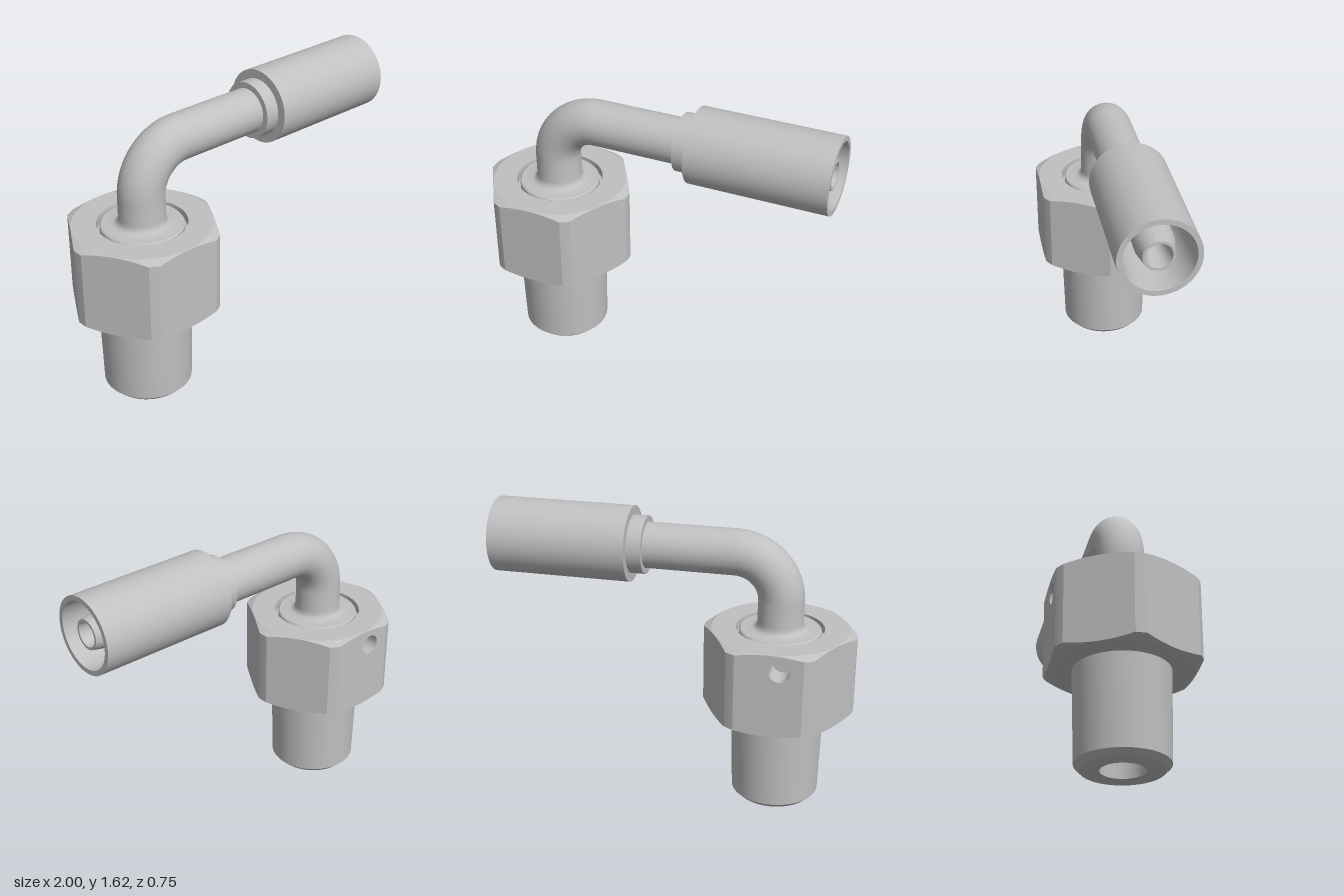
import * as THREE from 'three';
import { toCreasedNormals } from 'three/addons/utils/BufferGeometryUtils.js';

const AXIS_X = -0.583, PIPE_Y = 1.41;   // vertical axis, height of the horizontal axis
const TOP = 1.0, BOTTOM = 0.525;        // nut ends
const FLAT = 0.375, CORNER = 0.417;     // nut apothem and rounded corner radius
const CHAMFER_R = 0.372, SLOPE = 0.45;

const steel = new THREE.MeshStandardMaterial({ color: 0xc0c0c0 });
steel.name = 'steel';

function part(name, geometry) {
  const mesh = new THREE.Mesh(geometry, steel);
  mesh.name = name;
  return mesh;
}

// Turned part from [radius, height] pairs, with sharp edges kept
function turned(profile) {
  const pts = profile.map(([r, y]) => new THREE.Vector2(r, y));
  return toCreasedNormals(new THREE.LatheGeometry(pts, 64), 0.5);
}

// Turned part lying along x on the horizontal axis
const turnedX = (profile) => turned(profile).rotateZ(-Math.PI / 2).translate(0, PIPE_Y, 0);

const drop = (r) => (r - CHAMFER_R) * SLOPE;

function createNut() {
  const nut = new THREE.Group();
  nut.name = 'hexNut';
  const half = Math.sqrt(CORNER ** 2 - FLAT ** 2), steps = 20;
  const us = Array.from({ length: steps + 1 }, (_, i) => -half + (2 * half * i) / steps);

  // Outline of the rounded hexagon; isFlat marks spans covered by flat panels
  const ring = [];
  const edge = Math.atan(half / FLAT);
  for (let k = 0; k < 6; k++) {
    const mid = (k * Math.PI) / 3;
    us.forEach((u, i) => ring.push({ a: mid + Math.atan(u / FLAT), r: Math.hypot(u, FLAT), isFlat: i < steps }));
    for (let i = 1; i < 5; i++) {
      ring.push({ a: mid + edge + ((Math.PI / 3 - 2 * edge) * i) / 5, r: CORNER, isFlat: false });
    }
  }

  // Inner lip, end faces, chamfers and corner strips
  const rows = [
    () => [0.24, 0.93], () => [0.24, TOP], () => [CHAMFER_R, TOP],
    (r) => [r, TOP - drop(r)], (r) => [r, BOTTOM + drop(r)],
    () => [CHAMFER_R, BOTTOM], () => [0.24, BOTTOM],
  ];
  const at = (j, p) => {
    const [r, y] = rows[j](p.r);
    return [r * Math.sin(p.a), y, r * Math.cos(p.a)];
  };
  const pos = [];
  ring.forEach((p, i) => {
    const q = ring[(i + 1) % ring.length];
    for (let j = 0; j < rows.length - 1; j++) {
      if (j === 3 && p.isFlat) continue;
      const a = at(j, p), b = at(j + 1, p), c = at(j + 1, q), d = at(j, q);
      pos.push(...a, ...b, ...c, ...a, ...c, ...d);
    }
  });
  const shell = new THREE.BufferGeometry();
  shell.setAttribute('position', new THREE.Float32BufferAttribute(pos, 3));
  shell.computeVertexNormals();
  nut.add(part('nutShell', toCreasedNormals(shell, 0.3)));

  // Six flats with curved ends; the rear one has a pin hole
  const hole = { u: 0.055, y: 0.905, r: 0.055 };
  for (let k = 0; k < 6; k++) {
    const low = us.map((u) => new THREE.Vector2(u, BOTTOM + drop(Math.hypot(u, FLAT))));
    const high = us.map((u) => new THREE.Vector2(u, TOP - drop(Math.hypot(u, FLAT)))).reverse();
    const shape = new THREE.Shape([...low, ...high]);
    if (k === 3) shape.holes.push(new THREE.Path().absarc(hole.u, hole.y, hole.r, 0, Math.PI * 2, true));
    const panel = new THREE.ShapeGeometry(shape, 24).translate(0, 0, FLAT).rotateY((k * Math.PI) / 3);
    nut.add(part('nutFlat', panel));
  }
  const cup = turned([[hole.r, 0], [hole.r, -0.13], [0, -0.13]]);
  nut.add(part('pinHole', cup.rotateX(-Math.PI / 2).translate(-hole.u, hole.y, -FLAT)));
  nut.position.x = AXIS_X;
  return nut;
}

export function createModel() {
  const model = new THREE.Group();
  model.name = 'elbowHoseFitting';
  model.add(createNut());

  // Tapered plug with a bore from below
  const plug = part('taperedPlug', turned([
    [0, 0.78], [0.115, 0.7], [0.115, 0], [0.213, 0], [0.243, 0.03], [0.254, BOTTOM + 0.005],
  ]));
  plug.position.x = AXIS_X;

  // Pipe foot: groove floor, flange and fillet up into the pipe
  const foot = part('pipeFoot', turned([
    [0.24, 0.95], [0.223, 0.95], [0.223, 0.99], [0.216, 0.998], [0.155, 0.998], [0.142, 1.003],
    [0.133, 1.011], [0.127, 1.023], [0.125, 1.04], [0.125, 1.16],
  ]));
  foot.position.x = AXIS_X;

  // Quarter bend and straight run
  const bend = part('pipeBend', new THREE.TorusGeometry(0.25, 0.125, 48, 32, Math.PI / 2).rotateZ(Math.PI / 2));
  bend.position.set(AXIS_X + 0.25, 1.16, 0);
  const run = part('straightPipe', turnedX([[0.125, AXIS_X + 0.25], [0.125, 0.16]]));

  // Collar and crimp sleeve, open at the far end
  const sleeve = part('crimpSleeve', turnedX([
    [0.12, 0.155], [0.158, 0.155], [0.158, 0.235], [0.207, 0.235], [0.207, 1],
    [0.18, 1], [0.155, 0.32], [0.09, 0.32],
  ]));

  // Hose nipple inside the sleeve
  const nipple = part('hoseNipple', turnedX([
    [0.1, 0.31], [0.1, 0.87], [0.08, 0.98], [0.066, 0.98], [0, 0.5],
  ]));

  model.add(plug, foot, bend, run, sleeve, nipple);
  return model;
}
